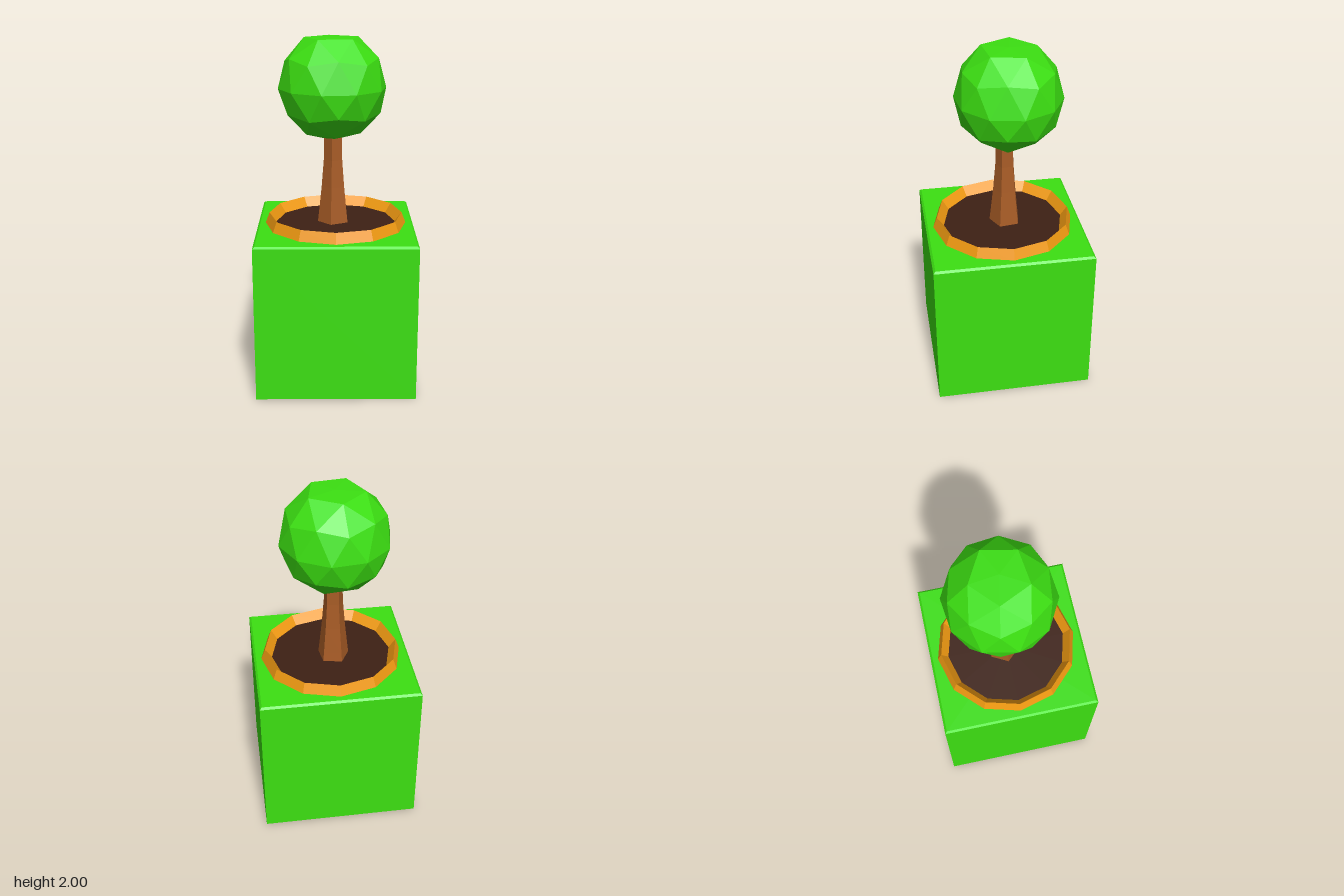
import * as THREE from 'three';

const rad = THREE.MathUtils.degToRad;
const paint = (color) => new THREE.MeshStandardMaterial({ color, flatShading: true });

// Faceted solid of revolution; profile points are [radius, height], bottom to top
function turned(name, profile, sides, material) {
  const geometry = new THREE.LatheGeometry(profile.map(([r, y]) => new THREE.Vector2(r, y)), sides);
  const mesh = new THREE.Mesh(geometry, material);
  mesh.name = name;
  return mesh;
}

export function createModel() {
  const model = new THREE.Group();
  model.name = 'pottedTree';
  const green = paint(0x3ce012);
  const orange = paint(0xf09a12);
  const brown = paint(0xa85c26);
  const earth = paint(0x3e2014);

  // Cube base with a thin chamfer round its top: a four-sided turned shape
  const corner = Math.SQRT1_2 * 0.914;
  const chamfer = Math.SQRT1_2 * 0.89;
  const base = turned('base', [[0, 0], [corner, 0], [corner, 0.908], [chamfer, 0.919], [0, 0.919]], 4, green);
  base.rotation.y = Math.PI / 4;
  model.add(base);

  // Twelve-sided planter rim with sloping outer and inner walls
  model.add(turned('planterRim', [[0.415, 0.915], [0.39, 0.98], [0.35, 0.925]], 12, orange));

  // Soil disc inside the rim
  model.add(turned('soil', [[0.352, 0.925], [0, 0.925]], 12, earth));

  // Five-sided trunk, flared at the foot
  const trunk = turned('trunk',
    [[0.094, 0.919], [0.087, 0.98], [0.07, 1.14], [0.057, 1.3], [0.054, 1.46], [0.054, 1.6]], 5, brown);
  trunk.position.set(-0.012, 0, -0.018);
  trunk.rotation.y = rad(-10);
  model.add(trunk);

  // Faceted crown: a ball of 80 faces with a corner on top, its upper side slightly flattened
  const ball = new THREE.IcosahedronGeometry(1, 1);
  ball.rotateX(-Math.atan((1 + Math.sqrt(5)) / 2));
  ball.rotateY(rad(-29));
  const p = ball.attributes.position;
  for (let i = 0; i < p.count; i++) {
    const y = p.getY(i);
    if (y > 0) p.setY(i, Math.min(y * 1.1, 0.95 + 0.02 * (y - 0.85)));
  }
  ball.scale(0.312, 0.303, 0.306);
  ball.computeVertexNormals();
  const crown = new THREE.Mesh(ball, green);
  crown.name = 'crown';
  crown.position.set(-0.018, 1.711, -0.037);
  model.add(crown);

  return model;
}
